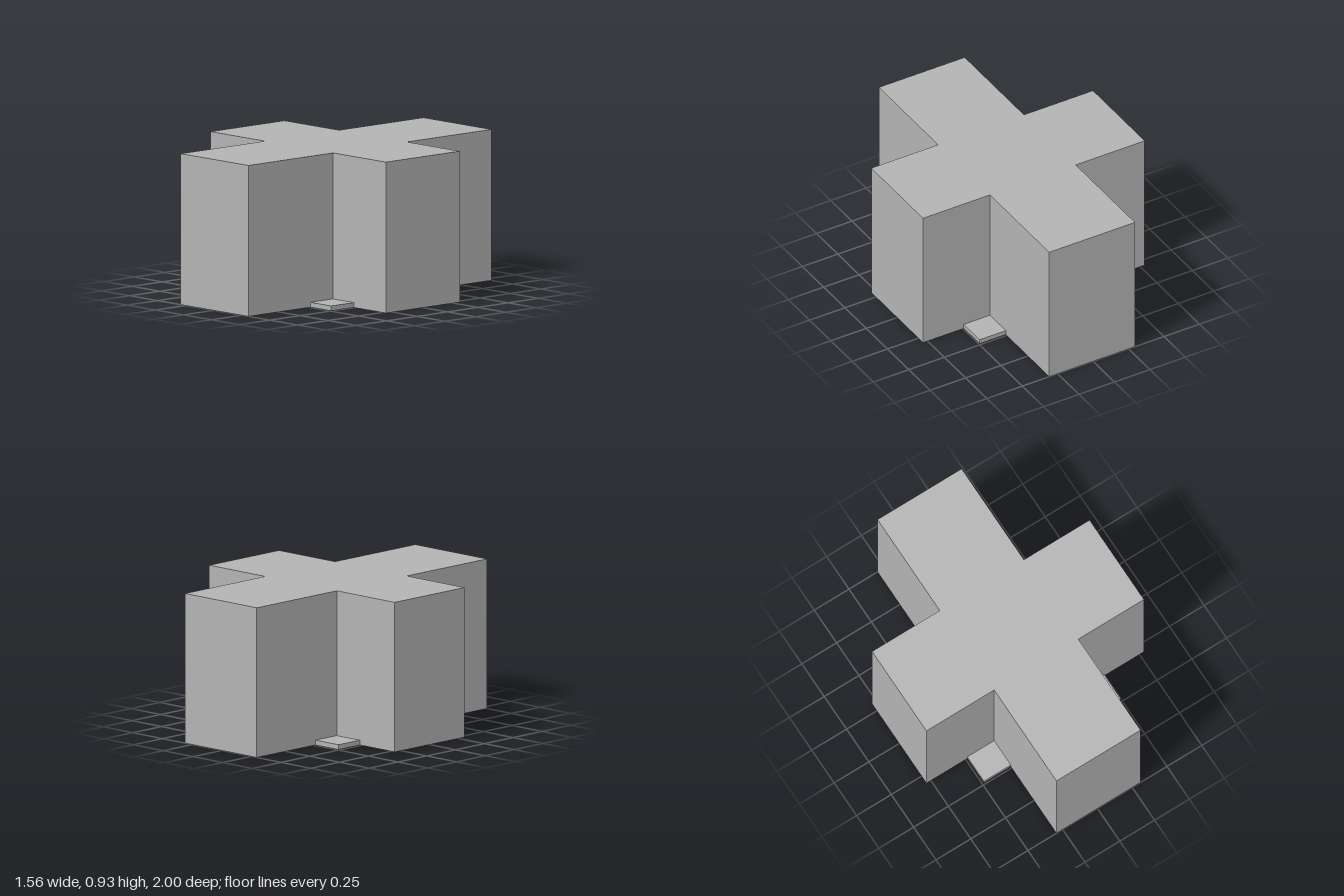
import * as THREE from 'three';

export function createModel() {
  const model = new THREE.Group();
  const grey = new THREE.MeshStandardMaterial({ color: 0xb3b3b3 });
  grey.name = 'grey';

  // Cross-shaped plan: long wing along z, short wing along x
  const left = -0.295, right = 0.31, side = 0.304;
  const endX = 0.782, endZ = 1, height = 0.925;
  const plan = new THREE.Shape([
    [left, -endZ], [right, -endZ], [right, -side], [endX, -side],
    [endX, side], [right, side], [right, endZ], [left, endZ],
    [left, side], [-endX, side], [-endX, -side], [left, -side],
  ].map(([x, y]) => new THREE.Vector2(x, y)));
  const bodyGeometry = new THREE.ExtrudeGeometry(plan, { depth: height, bevelEnabled: false });
  bodyGeometry.rotateX(-Math.PI / 2);
  const body = new THREE.Mesh(bodyGeometry, grey);
  body.name = 'crossBody';
  model.add(body);

  // Low step in each inner corner
  const stepHeight = 0.03, stepEndZ = 0.49;
  for (const [x0, x1, xName] of [[-0.488, left, 'Right'], [right, 0.495, 'Left']]) {
    for (const [sign, zName] of [[1, 'front'], [-1, 'back']]) {
      const step = new THREE.Mesh(
        new THREE.BoxGeometry(x1 - x0, stepHeight, stepEndZ - side), grey);
      step.position.set((x0 + x1) / 2, stepHeight / 2, sign * (side + stepEndZ) / 2);
      step.name = `${zName}${xName}Step`;
      model.add(step);
    }
  }
  return model;
}
